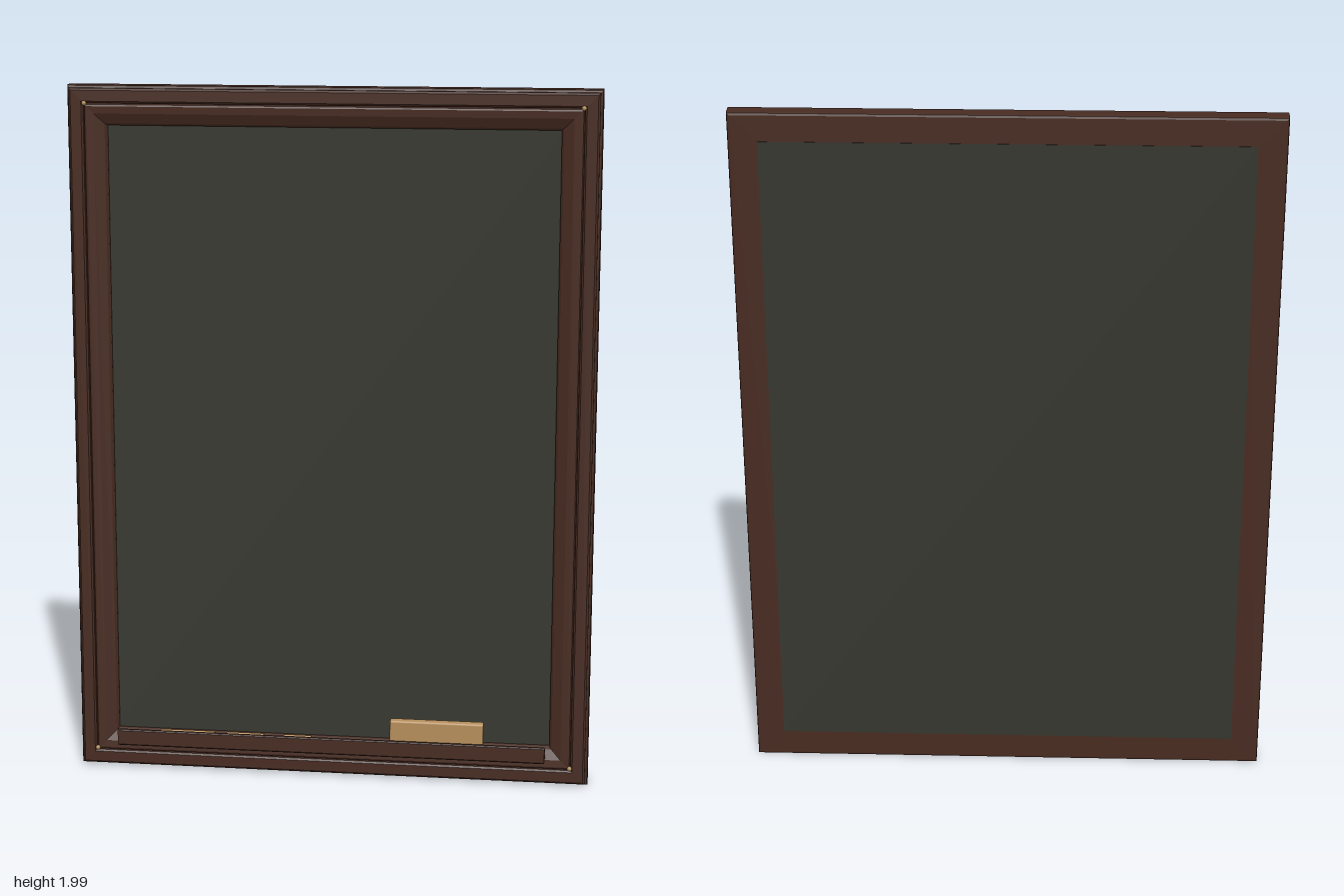
import * as THREE from 'three';
import { RoundedBoxGeometry } from 'three/addons/geometries/RoundedBoxGeometry.js';

const HALF_W = 0.745, HALF_H = 0.997, MID_Y = 1;

// Sweep a closed (inset, z) profile round the rectangle, with mitred corners.
function mitredFrame(profile) {
  const signs = [[-1, -1], [1, -1], [1, 1], [-1, 1]];
  const pos = [];
  const point = (k, [u, z]) => [
    signs[k % 4][0] * (HALF_W - u), MID_Y + signs[k % 4][1] * (HALF_H - u), z,
  ];
  for (let k = 0; k < 4; k++) {
    profile.forEach((p, i) => {
      const q = profile[(i + 1) % profile.length];
      const a = point(k, p), b = point(k + 1, p), c = point(k + 1, q), d = point(k, q);
      pos.push(...a, ...b, ...c, ...a, ...c, ...d);
    });
  }
  const geo = new THREE.BufferGeometry();
  geo.setAttribute('position', new THREE.Float32BufferAttribute(pos, 3));
  geo.computeVertexNormals();
  return geo;
}

export function createModel() {
  const group = new THREE.Group();
  const material = (name, color) => {
    const m = new THREE.MeshStandardMaterial({ color });
    m.name = name;
    return m;
  };
  const wood = material('darkWood', 0x472b21);
  const slate = material('slate', 0x36362f);
  const tan = material('paleWood', 0xb58e5c);

  const add = (name, geo, mat, x = 0, y = 0, z = 0) => {
    const mesh = new THREE.Mesh(geo, mat);
    mesh.name = name;
    mesh.position.set(x, y, z);
    group.add(mesh);
    return mesh;
  };

  // Writing panel, flush with the back of the frame
  add('slatePanel', new THREE.BoxGeometry(1.33, 1.834, 0.041), slate, 0, 1, -0.0405);

  // Deep back frame with softened outer edges
  add('backFrame', mitredFrame([
    [0.008, -0.06], [0.002, -0.058], [0, -0.052], [0, -0.012],
    [0.002, -0.006], [0.008, -0.004], [0.1, -0.004], [0.1, -0.06],
  ]), wood);

  // Front moulding: rounded outer bead, groove, then a slope down to the panel
  add('frontMoulding', mitredFrame([
    [0.013, -0.006], [0.008, -0.001], [0.008, 0.01], [0.014, 0.016],
    [0.044, 0.016], [0.049, 0.012], [0.05, 0.005], [0.053, 0.012], [0.058, 0.014],
    [0.078, 0.012], [0.106, -0.002], [0.112, -0.012], [0.112, -0.03], [0.06, -0.03],
  ]), wood);

  // Corner pins
  const pinGeo = new THREE.SphereGeometry(0.007, 12, 8);
  for (const x of [-0.693, 0.693]) {
    for (const y of [0.058, 1.948]) add('cornerPin', pinGeo, tan, x, y, 0.013);
  }

  // Chalk tray: ledge, floor and raised front lip
  const tray = new THREE.Shape([
    [0, 0.085], [0.058, 0.085], [0.062, 0.089], [0.062, 0.13], [0.059, 0.133],
    [0.051, 0.133], [0.049, 0.13], [0.049, 0.1], [0.038, 0.1], [0.036, 0.112], [0, 0.112],
  ].map(([z, y]) => new THREE.Vector2(-z, y)));
  const trayGeo = new THREE.ExtrudeGeometry(tray, { depth: 1.244, bevelEnabled: false });
  trayGeo.rotateY(Math.PI / 2).translate(-0.622, 0, 0);
  add('chalkTray', trayGeo, wood);

  // Chalk sticks lying on the ledge
  for (const [x, length] of [[-0.42, 0.16], [-0.25, 0.11], [-0.095, 0.08]]) {
    const chalk = add('chalkStick', new THREE.CylinderGeometry(0.008, 0.008, length, 12),
      tan, x, 0.12, 0.025);
    chalk.rotation.z = Math.PI / 2;
  }

  // Eraser block
  add('eraser', new RoundedBoxGeometry(0.27, 0.078, 0.028, 3, 0.006), tan, 0.31, 0.151, 0.029);

  return group;
}
